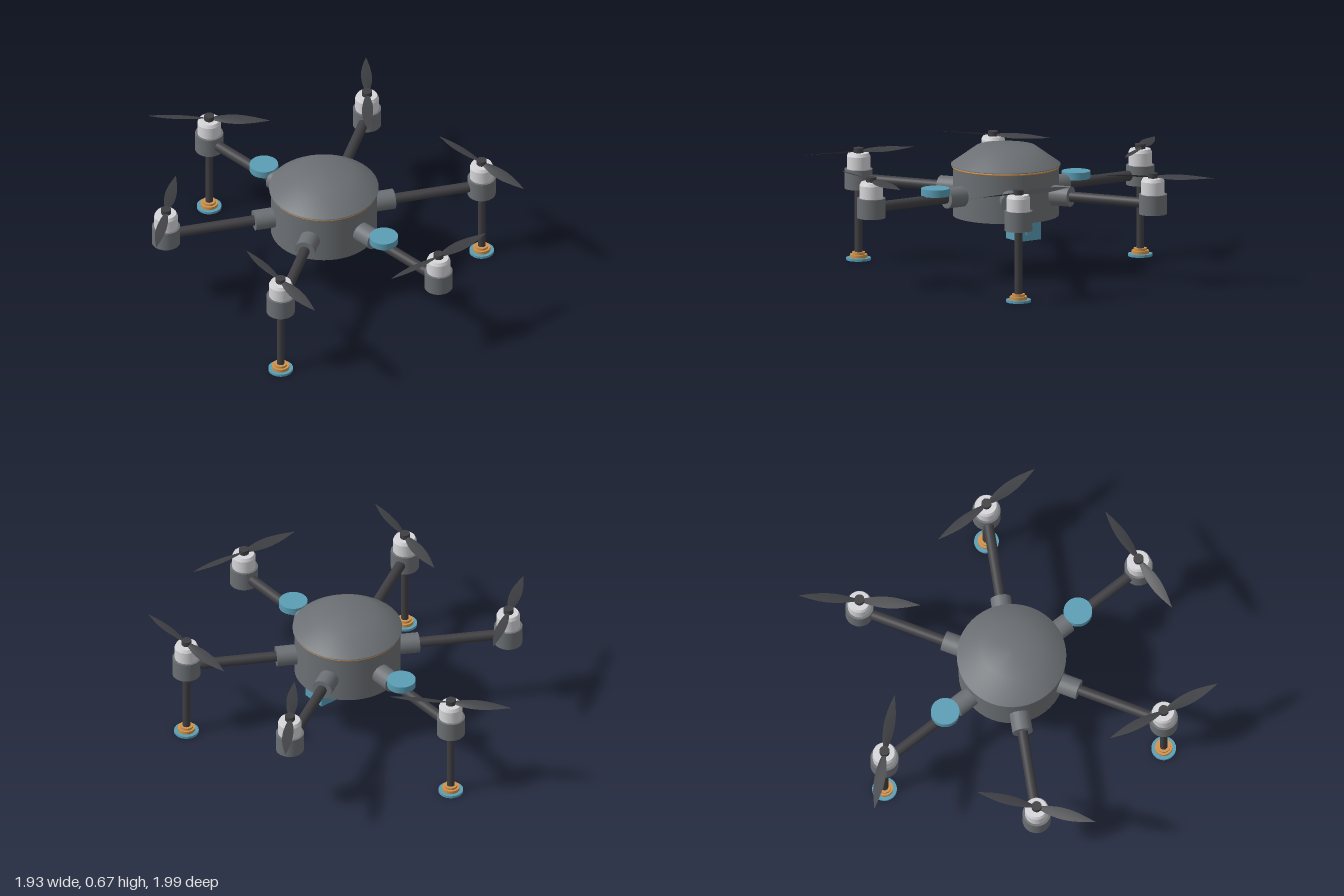
import * as THREE from 'three';

const mat = (name, color, side = THREE.FrontSide) => {
  const m = new THREE.MeshStandardMaterial({ color, side });
  m.name = name;
  return m;
};

export function createModel() {
  const grey = mat('shell grey', 0x6c7074);
  const dark = mat('carbon dark', 0x3f3e42);
  const blade = mat('blade dark', 0x3f4044, THREE.DoubleSide);
  const silver = mat('motor silver', 0xd6d6da);
  const teal = mat('teal', 0x5a9db4);
  const orange = mat('orange', 0xd0934c);

  const model = new THREE.Group();
  const craft = new THREE.Group(); // hub axis sits slightly off the origin
  craft.name = 'craft';
  craft.position.set(0.015, 0, 0.085);
  model.add(craft);

  const add = (parent, name, geo, material, x = 0, y = 0, z = 0) => {
    const m = new THREE.Mesh(geo, material);
    m.name = name;
    m.position.set(x, y, z);
    parent.add(m);
    return m;
  };
  // upright cylinder between two heights
  const post = (parent, name, r, y0, y1, material, x = 0, z = 0, seg = 32) =>
    add(parent, name, new THREE.CylinderGeometry(r, r, y1 - y0, seg), material, x, (y0 + y1) / 2, z);
  // cylinder lying along +x between two distances
  const rod = (parent, name, r, x0, x1, y, material) => {
    const m = add(parent, name, new THREE.CylinderGeometry(r, r, x1 - x0, 24), material, (x0 + x1) / 2, y, 0);
    m.rotation.z = -Math.PI / 2;
    return m;
  };
  const lathe = (pts, seg = 32) => new THREE.LatheGeometry(pts.map(p => new THREE.Vector2(...p)), seg);

  // Central body, trim ring and lid
  post(craft, 'body', 0.274, 0.303, 0.565, grey, 0, 0, 48);
  const trim = add(craft, 'trimRing', new THREE.TorusGeometry(0.274, 0.006, 8, 64), orange, 0, 0.56, 0);
  trim.rotation.x = Math.PI / 2;
  add(craft, 'lid', lathe([[0, 0.565], [0.283, 0.565], [0.283, 0.565], [0.283, 0.572], [0.155, 0.663], [0, 0.665]], 48), grey);

  // Camera under the body, looking sideways
  add(craft, 'cameraBox', new THREE.BoxGeometry(0.13, 0.104, 0.13), teal, 0.16, 0.253, 0);
  rod(craft, 'cameraLens', 0.033, 0.215, 0.241, 0.25, teal);

  // Propeller blade: a thin sheet along +x, swelling then tapering, with pitch
  const bladeGeo = new THREE.PlaneGeometry(1, 1, 16, 4);
  const p = bladeGeo.attributes.position;
  for (let i = 0; i < p.count; i++) {
    const u = p.getX(i) + 0.5, v = p.getY(i) * 2;
    const half = 0.009 * (1 - u) + 0.025 * Math.sin(Math.PI * Math.pow(u, 0.9));
    const pitch = 0.4 - 0.25 * u;
    p.setXYZ(i, 0.015 + 0.302 * u, half * v * Math.sin(pitch) + 0.003 * (1 - v * v) * (1 - u),
      -half * v * Math.cos(pitch));
  }
  bladeGeo.computeVertexNormals();

  const bellGeo = lathe([[0.061, 0.478], [0.061, 0.545], [0.061, 0.545], [0.053, 0.562], [0.053, 0.562], [0, 0.563]]);
  const footGeo = lathe([[0.045, 0.012], [0.045, 0.03], [0.045, 0.03], [0.034, 0.03], [0.034, 0.03], [0.034, 0.042], [0.034, 0.042], [0.02, 0.042]]);

  // Six arms: angle in degrees from +x towards -z, propeller direction (dx, dz)
  const arms = [
    { angle: 30, prop: [41, -43] },
    { angle: 90, prop: [40, 45], leg: true, disc: true },
    { angle: 150, prop: [48, -35] },
    { angle: 210, prop: [11, -59], leg: true },
    { angle: 270, prop: [60, 6], disc: true },
    { angle: 330, prop: [1, -60], leg: true },
  ];
  const R = 0.842;
  for (const { angle, prop, leg, disc } of arms) {
    const arm = new THREE.Group();
    arm.name = 'arm';
    arm.rotation.y = THREE.MathUtils.degToRad(angle);
    craft.add(arm);
    rod(arm, 'armMount', 0.053, 0.2, 0.373, 0.427, grey);
    rod(arm, 'armTube', 0.027, 0.3, R - 0.05, 0.427, dark);

    // Motor
    post(arm, 'motorBase', 0.073, 0.375, 0.478, grey, R);
    add(arm, 'motorBell', bellGeo, silver, R);
    post(arm, 'propellerHub', 0.026, 0.555, 0.588, dark, R, 0, 20);

    // Propeller
    const rotor = new THREE.Group();
    rotor.name = 'propeller';
    rotor.position.set(R, 0.57, 0);
    rotor.rotation.y = Math.atan2(-prop[1], prop[0]) - arm.rotation.y;
    arm.add(rotor);
    for (const turn of [0, Math.PI]) add(rotor, 'blade', bladeGeo, blade).rotation.y = turn;

    // Antenna disc on the front and back arms
    if (disc) post(arm, 'antennaDisc', 0.074, 0.45, 0.488, teal, 0.44);

    // Landing leg with stepped collar and pad
    if (leg) {
      post(arm, 'leg', 0.02, 0.01, 0.376, dark, R, 0, 20);
      add(arm, 'footCollar', footGeo, orange, R);
      post(arm, 'footPad', 0.064, 0, 0.013, teal, R);
    }
  }
  return model;
}
